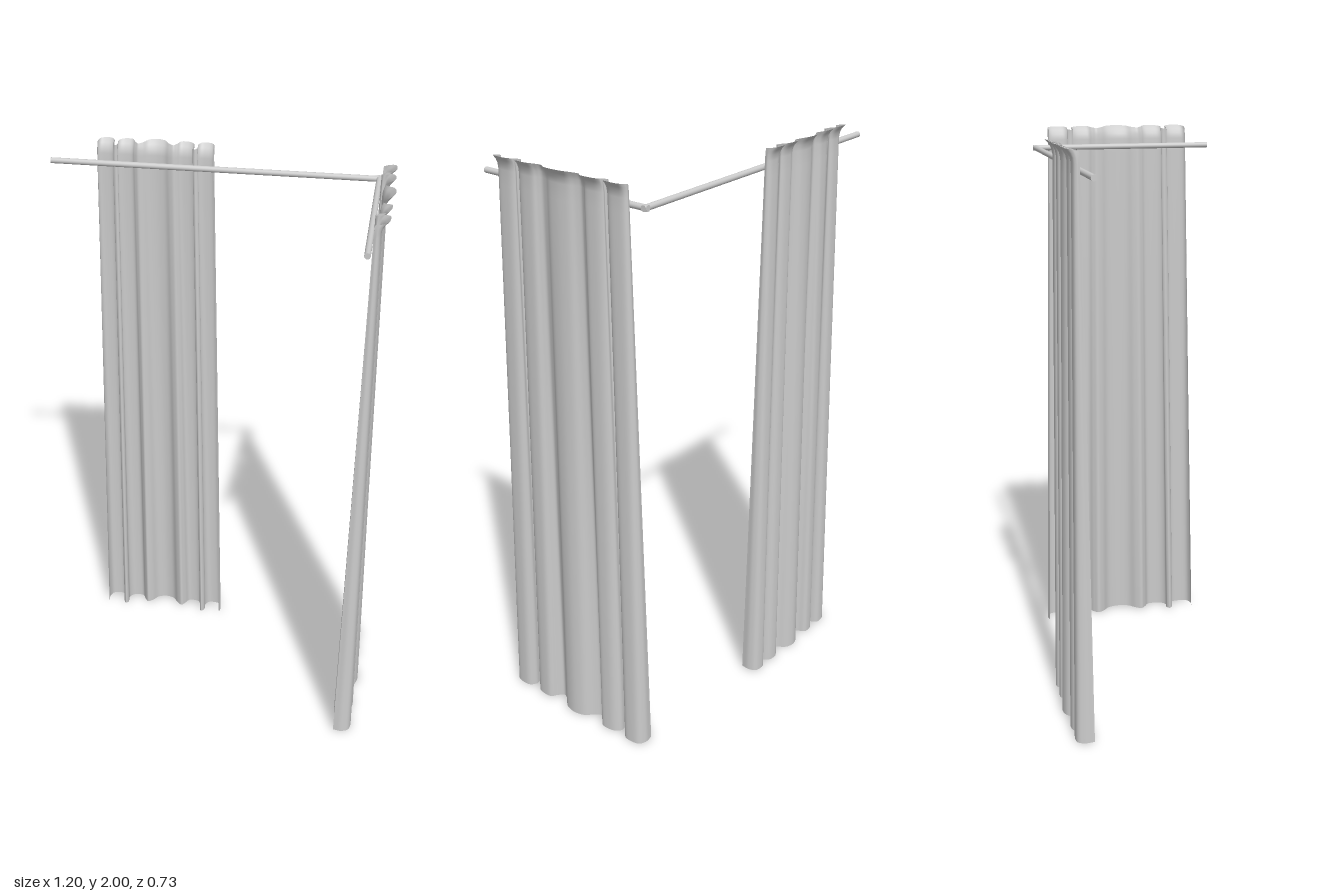
import * as THREE from 'three';

const material = new THREE.MeshStandardMaterial({ color: 0xcccccc });
const clothMaterial = new THREE.MeshStandardMaterial({ color: 0xcccccc, side: THREE.DoubleSide });

// Half of the symmetric fold line: [across, outward], with a tight tuck near 0.68
const halfFold = [
  [0.12, 0.9], [0.23, 0.5], [0.3, 0.35], [0.36, 0.55], [0.44, 0.88], [0.56, 0.86],
  [0.65, 0.6], [0.645, 0.15], [0.68, 0], [0.725, 0.2], [0.72, 0.6],
  [0.8, 0.88], [0.93, 0.85], [1, 0.5], [0.99, 0.06],
];
const foldLine = new THREE.CatmullRomCurve3([
  ...halfFold.map(([u, o]) => new THREE.Vector3(-u, o, 0)).reverse(),
  new THREE.Vector3(0, 1, 0),
  ...halfFold.map(([u, o]) => new THREE.Vector3(u, o, 0)),
]);

// Hanging cloth: folds run along x and bulge toward -z; it narrows upward and flares at the top hem
function curtain(name, width) {
  const cols = 160;
  const heights = [0, 0.25, 0.5, 0.75, 1, 1.25, 1.5, 1.75, 1.9, 1.95, 1.97, 1.985, 2];
  const points = foldLine.getPoints(cols);
  const positions = [];
  const indices = [];
  heights.forEach((h, row) => {
    const t = h / 2;
    const half = (width / 2) * (1 - 0.14 * t);
    const inner = THREE.MathUtils.lerp(-0.011, 0.01, t);
    const depth = THREE.MathUtils.lerp(0.076, 0.025, t);
    const flare = Math.max(0, (h - 1.95) / 0.05) ** 2;
    points.forEach((p, col) => {
      const y = h - flare * 0.012 * (1 - Math.min(1, p.y));
      positions.push(p.x * half, y, -(inner + p.y * depth + flare * 0.03 * p.y));
      if (row && col) {
        const d = row * (cols + 1) + col, c = d - 1, b = d - cols - 1, a = b - 1;
        indices.push(a, c, b, b, c, d);
      }
    });
  });
  const geometry = new THREE.BufferGeometry();
  geometry.setAttribute('position', new THREE.Float32BufferAttribute(positions, 3));
  geometry.setIndex(indices);
  geometry.computeVertexNormals();
  const mesh = new THREE.Mesh(geometry, clothMaterial);
  mesh.name = name;
  return mesh;
}

// Round bar lying along x
function rod(name, length) {
  const geometry = new THREE.CylinderGeometry(0.01, 0.01, length, 16).rotateZ(Math.PI / 2);
  const mesh = new THREE.Mesh(geometry, material);
  mesh.name = name;
  return mesh;
}

export function createModel() {
  const model = new THREE.Group();
  model.name = 'cornerCurtains';

  // Two rods meeting at the back corner
  const backRod = rod('backRod', 1.15);
  backRod.position.set(-0.03, 1.925, -0.298);
  const sideRod = rod('sideRod', 0.673);
  sideRod.rotation.y = -Math.PI / 2;
  sideRod.position.set(0.535, 1.925, 0.0285);

  // One curtain outside each rod
  const backCurtain = curtain('backCurtain', 0.475);
  backCurtain.position.set(-0.2375, 0, -0.298);
  const sideCurtain = curtain('sideCurtain', 0.615);
  sideCurtain.rotation.y = -Math.PI / 2;
  sideCurtain.position.set(0.535, 0, 0.0175);

  model.add(backRod, sideRod, backCurtain, sideCurtain);
  return model;
}
